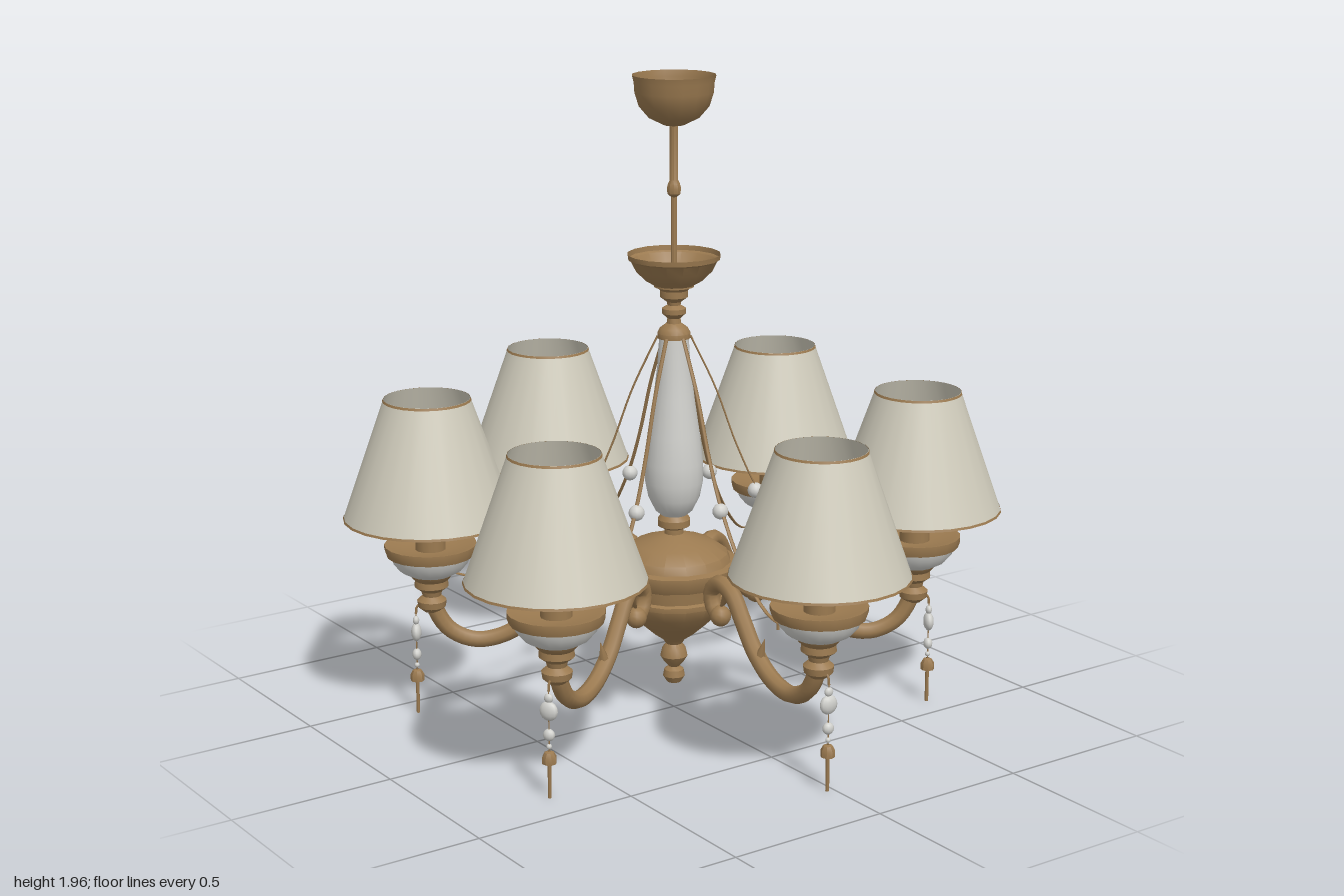
import * as THREE from 'three';
import { toCreasedNormals } from 'three/addons/utils/BufferGeometryUtils.js';

const mat = (name, color, side = THREE.FrontSide) => {
  const m = new THREE.MeshStandardMaterial({ color, side });
  m.name = name;
  return m;
};

export function createModel() {
  const brass = mat('antique brass', 0x9b7a50, THREE.DoubleSide);
  const cloth = mat('lampshade cloth', 0xcfcbbb, THREE.DoubleSide);
  const ceramic = mat('white ceramic', 0xd0d0cc);

  const model = new THREE.Group();
  model.name = 'chandelier';

  function add(parent, name, geometry, material, x = 0, y = 0, z = 0) {
    const mesh = new THREE.Mesh(geometry, material);
    mesh.name = name;
    mesh.position.set(x, y, z);
    parent.add(mesh);
    return mesh;
  }
  // Turned part: [radius, height] pairs from bottom to top
  const turned = (profile, sides = 16, crease = 0.6) => toCreasedNormals(
    new THREE.LatheGeometry(profile.map(([r, y]) => new THREE.Vector2(r, y)), sides), crease);
  // Curve in the vertical plane of one arm: [distance out, height] pairs
  const path = (points) => new THREE.CatmullRomCurve3(
    points.map(([r, y]) => new THREE.Vector3(r, y, 0)));

  // Ceiling cup, open at the top
  add(model, 'ceilingCup', turned([
    [0, 1.81], [0.03, 1.813], [0.075, 1.835], [0.105, 1.87], [0.118, 1.91], [0.12, 1.94], [0.125, 1.96],
  ]), brass);

  // Hanging rod with a joint
  add(model, 'hangingRod', turned([
    [0.009, 1.33], [0.009, 1.6], [0.02, 1.61], [0.022, 1.625], [0.018, 1.64], [0.013, 1.65], [0.013, 1.82],
  ], 10), brass);

  // Upper dish and its turned neck
  add(model, 'upperDish', turned([
    [0.05, 1.175], [0.05, 1.19], [0.042, 1.205], [0.022, 1.22], [0.02, 1.235], [0.036, 1.25], [0.036, 1.265],
    [0.02, 1.275], [0.022, 1.285], [0.042, 1.3], [0.042, 1.32], [0.05, 1.33], [0.085, 1.35],
    [0.115, 1.38], [0.13, 1.41], [0.138, 1.415], [0.14, 1.43],
  ]), brass);
  add(model, 'upperDishFloor', new THREE.CylinderGeometry(0.06, 0.06, 0.008, 16), brass, 0, 1.335, 0);

  // Ceramic vase column
  add(model, 'vaseColumn', turned([
    [0.035, 0.62], [0.058, 0.64], [0.078, 0.68], [0.088, 0.73], [0.088, 0.79], [0.078, 0.88],
    [0.062, 0.99], [0.05, 1.09], [0.044, 1.18],
  ], 20, 1), ceramic);

  // Central body and finial
  add(model, 'centralBody', turned([
    [0, 0.08], [0.022, 0.085], [0.034, 0.105], [0.03, 0.125], [0.016, 0.135], [0.03, 0.15], [0.042, 0.17],
    [0.036, 0.195], [0.025, 0.21], [0.035, 0.225], [0.07, 0.25], [0.115, 0.29], [0.15, 0.325],
    [0.168, 0.36], [0.168, 0.375], [0.155, 0.38], [0.16, 0.42], [0.185, 0.425], [0.2, 0.455],
    [0.2, 0.475], [0.175, 0.48], [0.165, 0.505], [0.12, 0.535], [0.06, 0.555], [0.03, 0.565],
    [0.03, 0.58], [0.05, 0.59], [0.05, 0.61], [0.036, 0.63],
  ]), brass);

  // Geometry shared by all six arms
  const armCurve = path([
    [0.25, 0.37], [0.218, 0.385], [0.205, 0.435], [0.25, 0.472], [0.31, 0.455], [0.365, 0.39], [0.43, 0.31],
    [0.52, 0.25], [0.61, 0.235], [0.685, 0.268], [0.725, 0.325], [0.74, 0.39],
  ]);
  const armGeo = new THREE.TubeGeometry(armCurve, 40, 0.026, 8);
  const chainCurve = path([
    [0.05, 1.18], [0.125, 1.02], [0.19, 0.84], [0.255, 0.7], [0.36, 0.55],
    [0.48, 0.45], [0.58, 0.43], [0.67, 0.45],
  ]);
  const chainGeo = new THREE.TubeGeometry(chainCurve, 28, 0.003, 6);
  const lowerCupGeo = turned([
    [0.024, 0.33], [0.042, 0.345], [0.045, 0.365], [0.028, 0.38], [0.032, 0.395], [0.052, 0.41],
    [0.05, 0.43], [0.06, 0.44], [0.066, 0.45],
  ]);
  const bowlGeo = turned([[0.064, 0.448], [0.095, 0.465], [0.116, 0.49], [0.122, 0.512]], 20);
  const panGeo = turned([
    [0.118, 0.508], [0.134, 0.512], [0.14, 0.53], [0.14, 0.545], [0.125, 0.543], [0.08, 0.53], [0.045, 0.528],
  ], 20);
  const sleeveGeo = turned([[0.046, 0.525], [0.046, 0.72], [0, 0.72]], 14);
  const bulbGeo = turned([
    [0.02, 0.715], [0.026, 0.74], [0.044, 0.775], [0.048, 0.8], [0.04, 0.83], [0.02, 0.847], [0, 0.85],
  ], 14, 1);
  const shadeGeo = new THREE.CylinderGeometry(0.13, 0.26, 0.37, 24, 1, true);
  const topTrimGeo = new THREE.CylinderGeometry(0.131, 0.1335, 0.007, 24, 1, true);
  const lowTrimGeo = new THREE.CylinderGeometry(0.259, 0.2615, 0.007, 24, 1, true);
  const beadGeo = new THREE.SphereGeometry(1, 12, 8);
  const leafGeo = new THREE.ConeGeometry(0.022, 0.09, 6);
  const bellGeo = turned([
    [0.021, 0.105], [0.021, 0.125], [0.014, 0.138], [0.005, 0.142],
  ], 8);
  const stickGeo = new THREE.CylinderGeometry(0.006, 0.006, 0.115, 6);
  const wireGeo = new THREE.CylinderGeometry(0.002, 0.002, 0.21, 5);
  const hookGeo = new THREE.TubeGeometry(path([
    [0.74, 0.345], [0.765, 0.352], [0.785, 0.345], [0.79, 0.32],
  ]), 8, 0.004, 5);

  function buildArm() {
    const arm = new THREE.Group();

    // Scrolled arm with a leaf spur
    add(arm, 'scrollArm', armGeo, brass);
    add(arm, 'scrollEnd', beadGeo, brass, 0.252, 0.37, 0).scale.setScalar(0.032);
    add(arm, 'leafSpur', leafGeo, brass, 0.465, 0.325, 0).rotation.z = -0.35;
    add(arm, 'scrollLeaf', leafGeo, brass, 0.272, 0.425, 0).rotation.z = 2.5;

    // Lamp holder
    add(arm, 'lowerCup', lowerCupGeo, brass, 0.74);
    add(arm, 'ceramicBowl', bowlGeo, ceramic, 0.74);
    add(arm, 'dripPan', panGeo, brass, 0.74);
    add(arm, 'candleSleeve', sleeveGeo, brass, 0.74);
    add(arm, 'bulb', bulbGeo, ceramic, 0.74);

    // Shade with narrow trims
    add(arm, 'shade', shadeGeo, cloth, 0.74, 0.815);
    add(arm, 'shadeTopTrim', topTrimGeo, brass, 0.74, 0.9965);
    add(arm, 'shadeLowerTrim', lowTrimGeo, brass, 0.74, 0.6335);

    // Flat swag from the column to the lamp holder, with a bead
    add(arm, 'swag', chainGeo, brass).scale.z = 2.2;
    add(arm, 'swagBead', beadGeo, ceramic, 0.248, 0.695, 0).scale.setScalar(0.024);

    // Drop pendant
    add(arm, 'pendantHook', hookGeo, brass);
    add(arm, 'pendantWire', wireGeo, brass, 0.79, 0.235);
    for (const [y, r, depth] of [[0.3, 0.014, 0.01], [0.262, 0.029, 0.016], [0.19, 0.018, 0.014], [0.155, 0.008, 0.008]]) {
      add(arm, 'pendantBead', beadGeo, ceramic, 0.79, y, 0).scale.set(depth, r, r);
    }
    add(arm, 'pendantBell', bellGeo, brass, 0.79);
    add(arm, 'pendantStick', stickGeo, brass, 0.79, 0.0575);
    return arm;
  }

  // Six arms around the column
  for (let i = 0; i < 6; i++) {
    const arm = buildArm();
    arm.name = `lampArm${i + 1}`;
    arm.rotation.y = THREE.MathUtils.degToRad(28.5 + i * 60);
    model.add(arm);
  }
  return model;
}
